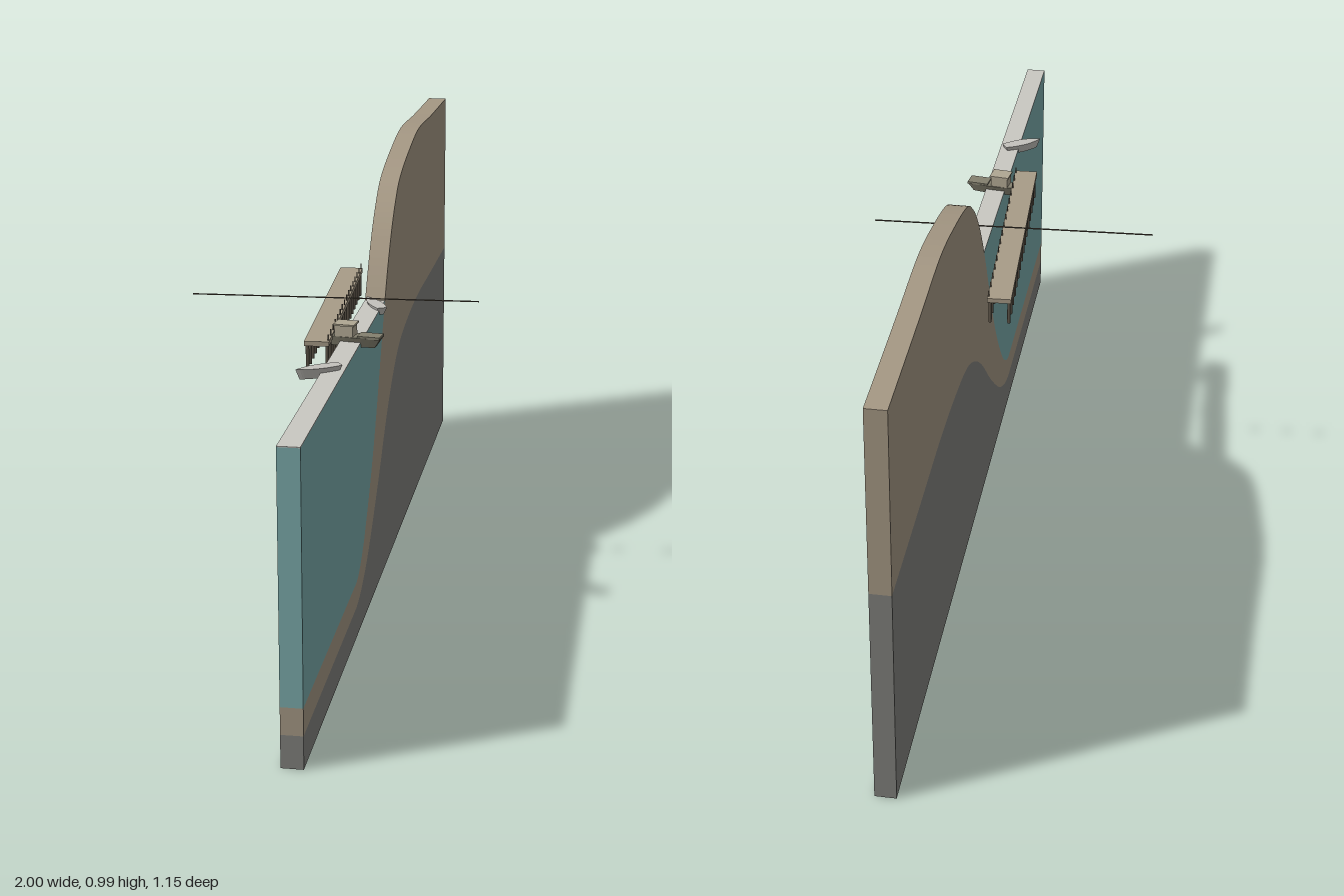
import * as THREE from 'three';

const mat = (name, color, side = THREE.FrontSide) => {
  const m = new THREE.MeshStandardMaterial({ color, side });
  m.name = name;
  return m;
};

export function createModel() {
  const group = new THREE.Group();
  const rock = mat('rock', 0x80807c);
  const sand = mat('sand', 0xa59884);
  const water = mat('water', 0x7aaaaa);
  const surface = mat('waterSurface', 0xcac8c2);
  const wood = mat('wood', 0xa89c88);
  const darkWood = mat('darkWood', 0x5f564a);
  const hullGrey = mat('hullGrey', 0x84806f);
  const paleGrey = mat('paleGrey', 0xc4c2bc);
  const cabinTan = mat('cabinTan', 0xb0a792);

  const add = (parent, name, geo, material, x = 0, y = 0, z = 0) => {
    const m = new THREE.Mesh(geo, material);
    m.name = name;
    m.position.set(x, y, z);
    parent.add(m);
    return m;
  };
  const box = (w, h, d) => new THREE.BoxGeometry(w, h, d);

  // Cross-section slab, standing diagonally
  const slab = new THREE.Group();
  slab.name = 'slab';
  slab.rotation.y = 0.51;
  group.add(slab);
  const L = 1.132, T = 0.048, level = 0.685;
  const toLocal = ([x, y]) => new THREE.Vector2((x - 0.0117) / 0.873, y);
  // flat sea floor followed by a smooth slope
  const profile = (points) => {
    const p = points.map(toLocal);
    const curve = new THREE.SplineCurve(p).getPoints(72);
    curve[curve.length - 1].x = L;
    return [new THREE.Vector2(-L, p[0].y), ...curve];
  };
  const rockTop = profile([[-0.4, 0.074], [-0.34, 0.09], [-0.25, 0.142], [-0.12, 0.258], [0, 0.382],
    [0.1, 0.462], [0.2, 0.512], [0.33, 0.535], [0.5, 0.546], [0.72, 0.541], [1, 0.535]]);
  const sandTop = profile([[-0.4, 0.135], [-0.36, 0.15], [-0.29, 0.212], [-0.17, 0.388], [-0.02, 0.69],
    [0.06, 0.818], [0.13, 0.893], [0.2, 0.937], [0.34, 0.972], [0.5, 0.994], [0.72, 0.983], [1, 0.973]]);
  const layer = (name, bottom, top, material) => {
    const shape = new THREE.Shape([...bottom, ...[...top].reverse()]);
    const geo = new THREE.ExtrudeGeometry(shape, { depth: T, bevelEnabled: false });
    add(slab, name, geo, material, 0, 0, -T / 2);
  };
  const V = (x, y) => new THREE.Vector2(x, y);
  layer('rockLayer', [V(-L, 0), V(L, 0)], rockTop, rock);
  layer('sandLayer', rockTop, sandTop, sand);

  // Water fills the basin up to the shoreline
  const k = sandTop.findIndex((p) => p.y > level);
  const a = sandTop[k - 1], b = sandTop[k];
  const shore = a.x + (b.x - a.x) * (level - a.y) / (b.y - a.y);
  layer('waterBody', [...sandTop.slice(0, k), V(shore, level)], [V(-L, level)], water);
  add(slab, 'waterSurface', box(shore + L, 0.002, T), surface, (shore - L) / 2, level + 0.001, 0);

  // Pier with two rows of piles
  const pier = new THREE.Group();
  pier.name = 'pier';
  pier.position.set(-0.15, 0, -0.01);
  pier.rotation.y = 0.557;
  group.add(pier);
  add(pier, 'deck', box(0.668, 0.011, 0.056), wood, 0, 0.696, 0);
  for (let i = 0; i < 16; i++) {
    const x = -0.322 + i * 0.644 / 15;
    for (const s of [-1, 1]) {
      add(pier, 'pile', new THREE.CylinderGeometry(0.004, 0.004, 0.058, 6), darkWood, x, 0.662, s * 0.022);
    }
    add(pier, 'railPost', box(0.003, 0.014, 0.003), darkWood, x, 0.708, 0.025);
  }
  // slender bar lying across the pier
  add(pier, 'crossBar', box(0.0025, 0.0025, 0.68), darkWood, 0, 0.713, 0);

  // Pointed hull: bow along +x, narrower at the keel
  const hull = (length, width, height) => {
    const h = length / 2, w = width / 2;
    const s = new THREE.Shape();
    s.moveTo(-h, -w * 0.7);
    s.quadraticCurveTo(-h * 0.2, -w * 1.25, h * 0.4, -w * 0.75);
    s.quadraticCurveTo(h * 0.8, -w * 0.4, h, 0);
    s.quadraticCurveTo(h * 0.8, w * 0.4, h * 0.4, w * 0.75);
    s.quadraticCurveTo(-h * 0.2, w * 1.25, -h, w * 0.7);
    const geo = new THREE.ExtrudeGeometry(s, { depth: height, bevelEnabled: false, curveSegments: 6 });
    geo.rotateX(-Math.PI / 2);
    const p = geo.attributes.position;
    for (let i = 0; i < p.count; i++) {
      if (p.getY(i) < height / 2) p.setXYZ(i, p.getX(i) * 0.82, p.getY(i), p.getZ(i) * 0.6);
    }
    geo.computeVertexNormals();
    return geo;
  };
  const boat = (name, x, z, dx, dz, size, material) => {
    const g = new THREE.Group();
    g.name = name;
    g.position.set(x, 0.675, z);
    g.rotation.y = Math.atan2(-dz, dx);
    add(g, 'hull', hull(...size), material);
    group.add(g);
    return g;
  };
  boat('outerRowBoat', -0.57, 0.283, -0.09, -0.045, [0.105, 0.034, 0.023], paleGrey);
  boat('shoreRowBoat', -0.07, 0.046, 0.055, -0.085, [0.108, 0.034, 0.019], paleGrey);

  // Cabin boat
  const cabinBoat = boat('cabinBoat', -0.34, 0.178, -0.06, -0.15, [0.165, 0.042, 0.023], hullGrey);
  add(cabinBoat, 'cabin', box(0.042, 0.027, 0.036), cabinTan, 0.002, 0.0365, 0);
  add(cabinBoat, 'cabinRoof', box(0.048, 0.004, 0.042), cabinTan, 0.002, 0.05, 0);
  add(cabinBoat, 'sternDeck', box(0.052, 0.006, 0.037), hullGrey, -0.055, 0.024, 0);
  return group;
}
